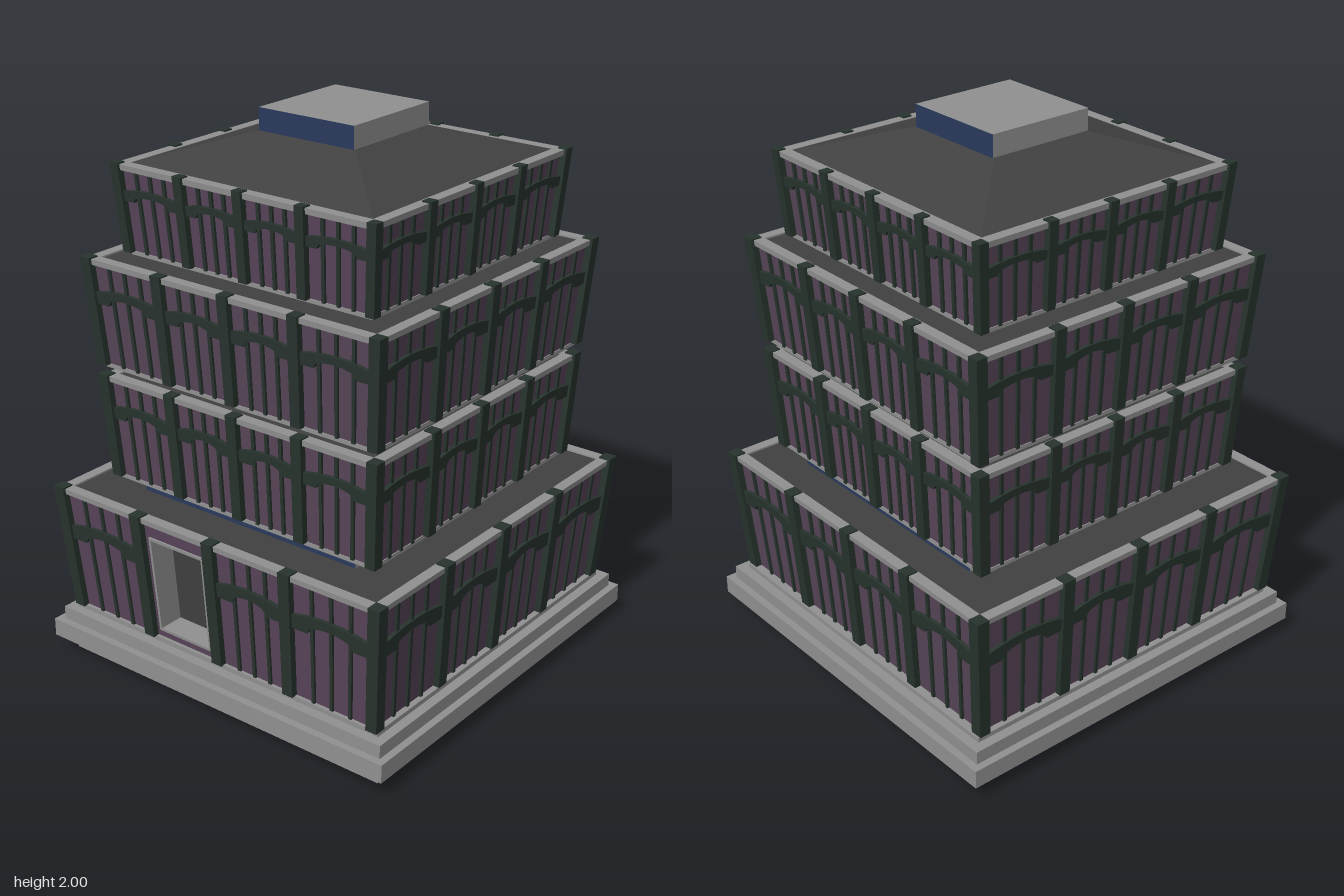
import * as THREE from 'three';
import { mergeGeometries } from 'three/addons/utils/BufferGeometryUtils.js';

const mat = (color) => new THREE.MeshStandardMaterial({ color, flatShading: true });
const stone = mat(0x909090), plaster = mat(0x584559), timber = mat(0x28342e);
const roofing = mat(0x414141), blue = mat(0x2a3a5c);
// blue on the front and back, stone on the other sides
const blueFaced = [stone, stone, stone, stone, blue, blue];

// box given by its centre in x and z and its bottom in y
const box = (w, h, d, x = 0, y = 0, z = 0) =>
  new THREE.BoxGeometry(w, h, d).translate(x, y + h / 2, z);

function add(parent, name, geo, material) {
  const mesh = new THREE.Mesh(geo, material);
  mesh.name = name;
  parent.add(mesh);
  return mesh;
}

// narrows a straight storey toward its foot
function taper(geo, ratio, height) {
  const p = geo.attributes.position;
  for (let i = 0; i < p.count; i++) {
    const s = ratio + (1 - ratio) * (p.getY(i) / height);
    p.setX(i, p.getX(i) * s);
    p.setZ(i, p.getZ(i) * s);
  }
  geo.computeVertexNormals();
  return geo;
}

// arched beam with a bracket at each end
function beam(a, b, y, k, z) {
  const s = new THREE.Shape();
  const m = (a + b) / 2;
  s.moveTo(a, y - 0.04 * k);
  s.lineTo(a + 0.06 * k, y - 0.04 * k);
  s.lineTo(a + 0.075 * k, y - 0.018 * k);
  s.quadraticCurveTo(m, y + 0.008 * k, b - 0.075 * k, y - 0.018 * k);
  s.lineTo(b - 0.06 * k, y - 0.04 * k);
  s.lineTo(b, y - 0.04 * k);
  s.lineTo(b, y + 0.008 * k);
  s.quadraticCurveTo(m, y + 0.045 * k, a, y + 0.008 * k);
  return new THREE.ExtrudeGeometry(s, { depth: 0.015, bevelEnabled: false, curveSegments: 6 })
    .translate(0, 0, z);
}

// rectangle as a closed path
function rect(path, x0, y0, x1, y1) {
  path.moveTo(x0, y0);
  path.lineTo(x1, y0);
  path.lineTo(x1, y1);
  path.lineTo(x0, y1);
  path.closePath();
  return path;
}

const DOOR = { x0: -0.288, x1: -0.037, y0: 0.03, y1: 0.4 };

// one storey: y0..y1, half width at foot and head, post width
function storey({ name, y0, y1, foot, head, post, x, door }) {
  const g = new THREE.Group();
  g.name = name;
  g.position.set(x, y0, 0.009);
  const h = y1 - y0, k = h / 0.45;
  const c = head - post / 2;              // post centre line
  const face = head - 0.025;              // wall surface
  const stops = [-c, -0.475 * c, 0, 0.475 * c, c];
  const walls = [], posts = [], beams = [], battens = [], trims = [];

  for (let side = 0; side < 4; side++) {
    const put = (list, geo) => list.push(geo.rotateY(side * Math.PI / 2));
    const hasDoor = door && side === 0;

    // wall panel
    const shape = rect(new THREE.Shape(), -face, 0, face, h - 0.015);
    if (hasDoor) shape.holes.push(rect(new THREE.Path(), DOOR.x0, DOOR.y0, DOOR.x1, DOOR.y1));
    put(walls, new THREE.ExtrudeGeometry(shape, { depth: 0.03, bevelEnabled: false })
      .translate(0, 0, face - 0.03));

    // top rail between the posts
    put(trims, box(2 * head - 0.02, 0.02, 0.04, 0, h - 0.025, head - 0.03));

    // one corner post and three between
    for (const px of stops.slice(1)) put(posts, box(post, h, post, px, 0, c));

    // beam and battens in each bay
    for (let i = 0; i < 4; i++) {
      if (hasDoor && i === 1) continue;
      const a = stops[i] + post / 2, b = stops[i + 1] - post / 2;
      put(beams, beam(a, b, h * 0.67, k, face));
      for (let j = 1; j <= 3; j++) {
        put(battens, box(0.013, h - 0.025, 0.01, a + (b - a) * j / 4, 0, face + 0.004));
      }
    }
  }

  const part = (label, list, m) =>
    add(g, label, taper(mergeGeometries(list), foot / head, h), m);
  part('walls', walls, plaster);
  part('posts', posts, timber);
  part('archedBeams', beams, timber);
  part('battens', battens, timber);
  part('topRail', trims, stone);

  // floor slab and flat roof
  add(g, 'floor', box(2 * foot - 0.04, 0.014, 2 * foot - 0.04, 0, -0.012), stone);
  add(g, 'flatRoof', box(2 * head - 0.09, 0.015, 2 * head - 0.09, 0, h - 0.026), roofing);

  if (door) {
    const { x0: a, x1: b, y0: lo, y1: hi } = DOOR;
    const w = b - a, m = (a + b) / 2, t = 0.01, d = 0.1, z = face - d / 2 + 0.008;
    const frame = [
      box(t, hi - lo, d, a + t / 2, lo, z),
      box(t, hi - lo, d, b - t / 2, lo, z),
      box(w, t, d, m, lo, z),
      box(w, t, d, m, hi - t, z),
    ];
    part('doorFrame', frame, stone);
    part('doorPanel', [box(w, hi - lo, 0.01, m, lo, face - d)], roofing);
  }
  return g;
}

export function createModel() {
  const model = new THREE.Group();
  model.name = 'tieredTower';

  // stepped plinth: half width, bottom, top
  [[0.687, 0, 0.055], [0.743, 0.055, 0.122], [0.716, 0.122, 0.17], [0.68, 0.17, 0.187]]
    .forEach(([r, a, b], i) =>
      add(model, 'plinthStep' + (i + 1), box(2 * r, b - a, 2 * r, 0, a), stone));

  // four storeys
  const storeys = [
    { name: 'groundStorey', y0: 0.185, y1: 0.662, foot: 0.682, head: 0.718, post: 0.046, x: 0, door: true },
    { name: 'secondStorey', y0: 0.7, y1: 1.085, foot: 0.577, head: 0.6, post: 0.042, x: 0.015 },
    { name: 'thirdStorey', y0: 1.122, y1: 1.51, foot: 0.6, head: 0.628, post: 0.042, x: 0.016 },
    { name: 'topStorey', y0: 1.522, y1: 1.832, foot: 0.526, head: 0.549, post: 0.036, x: 0.018 },
  ];
  for (const s of storeys) model.add(storey(s));

  // recessed necks between storeys: half width, half depth, bottom, top
  [[0.465, 0.53, 0.64, 0.695], [0.387, 0.44, 1.065, 1.115], [0.41, 0.46, 1.49, 1.52]]
    .forEach(([w, d, a, b], i) =>
      add(model, 'neck' + (i + 1), box(2 * w, b - a, 2 * d, 0.012, a, 0.005), blueFaced));

  // hipped roof
  const hip = new THREE.CylinderGeometry(0.2 * Math.SQRT2, 0.51 * Math.SQRT2, 0.1, 4)
    .rotateY(Math.PI / 4).translate(0.018, 1.872, 0.009);
  add(model, 'hippedRoof', hip, roofing);

  // roof cap
  add(model, 'roofCap', box(0.395, 0.085, 0.405, 0.018, 1.915, 0.008), blueFaced);
  return model;
}
